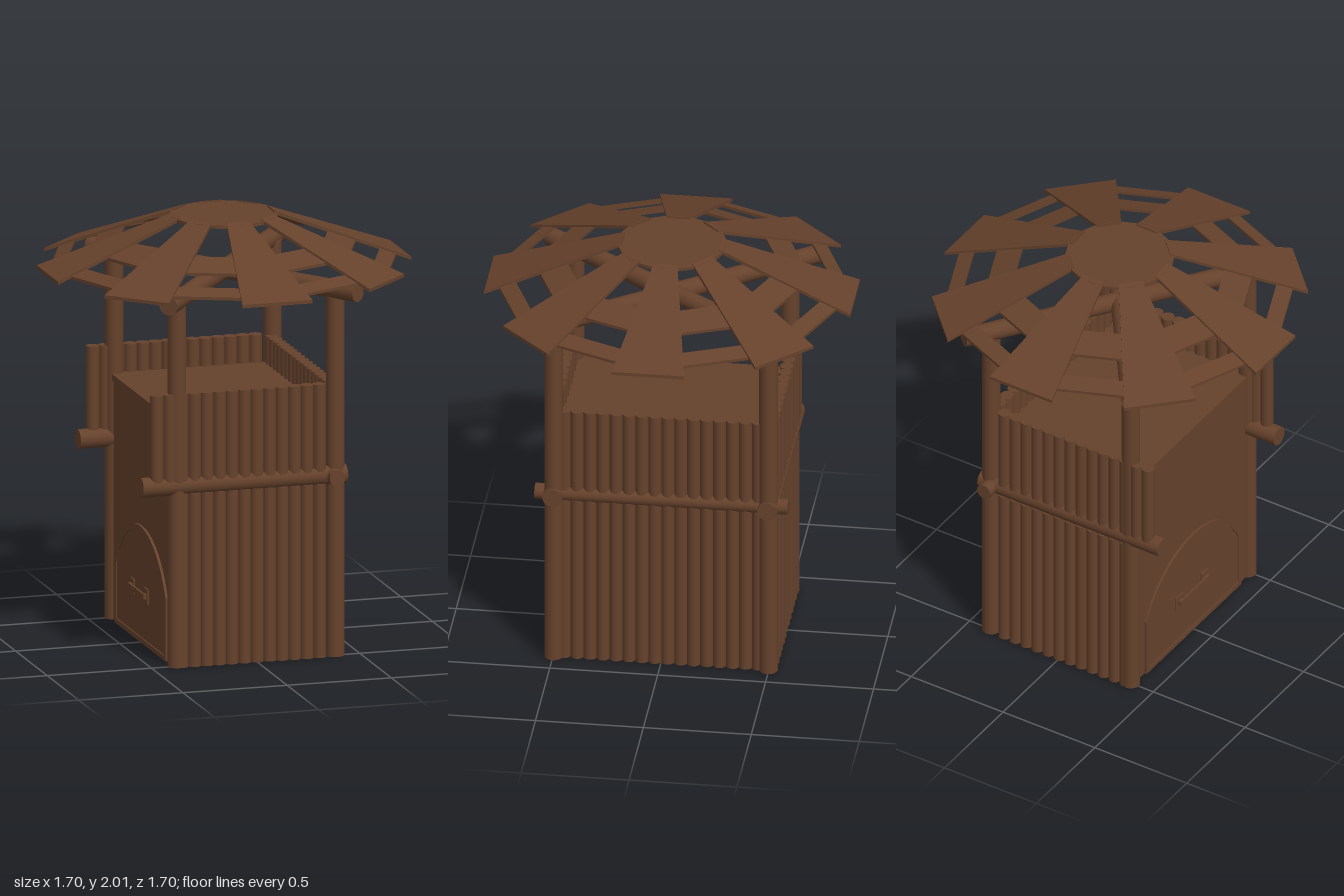
import * as THREE from 'three';

const wood = new THREE.MeshStandardMaterial({ color: 0x66422c });
wood.name = 'brown wood';

export function createModel() {
  const tower = new THREE.Group();
  tower.name = 'watchtower';

  const add = (name, geometry, parent = tower) => {
    const mesh = new THREE.Mesh(geometry, wood);
    mesh.name = name;
    parent.add(mesh);
    return mesh;
  };
  const box = (name, w, h, d, x, y, z, parent) => {
    const mesh = add(name, new THREE.BoxGeometry(w, h, d), parent);
    mesh.position.set(x, y, z);
    return mesh;
  };
  // Round log between two points
  const log = (name, r, a, b, parent) => {
    const from = new THREE.Vector3(...a), to = new THREE.Vector3(...b);
    const dir = to.clone().sub(from);
    const mesh = add(name, new THREE.CylinderGeometry(r, r, dir.length(), 16), parent);
    mesh.position.copy(from).add(to).multiplyScalar(0.5);
    mesh.quaternion.setFromUnitVectors(new THREE.Vector3(0, 1, 0), dir.normalize());
    return mesh;
  };
  const group = (name, parent = tower) => {
    const g = new THREE.Group();
    g.name = name;
    parent.add(g);
    return g;
  };

  // Corner posts
  for (const x of [-0.377, 0.383])
    for (const z of [-0.498, 0.498]) log('cornerPost', 0.043, [x, 0, z], [x, 1.73, z]);

  // Front and back log walls, with the upper row reaching past the posts
  for (const s of [1, -1]) {
    const wall = group(s > 0 ? 'frontWall' : 'backWall');
    for (let i = 0; i < 14; i++) {
      const x = -0.477 + i * 0.06, z = s * 0.508;
      log('upperLog', 0.031, [x, 0.88, z], [x, 1.29, z], wall);
      if (i > 1) log('lowerLog', 0.031, [x, 0, z], [x, 0.82, z], wall);
    }
    log('crossBeam', 0.046, [-0.55, 0.855, s * 0.498], [0.432, 0.855, s * 0.498], wall);
  }

  // Left log wall
  const sideWall = group('leftWall');
  for (let i = 0; i < 16; i++) {
    const z = -0.45 + i * 0.06;
    log('upperLog', 0.031, [0.367, 0.88, z], [0.367, 1.29, z], sideWall);
    log('lowerLog', 0.031, [0.367, 0, z], [0.367, 0.83, z], sideWall);
  }
  log('crossBeam', 0.037, [0.368, 0.855, -0.588], [0.368, 0.855, 0.585], sideWall);

  // Platform and flat right wall
  box('platform', 0.75, 0.03, 0.98, -0.023, 1.145, 0);
  box('rightWall', 0.025, 1.13, 0.96, -0.379, 0.565, 0);

  // Arched door
  const door = group('door');
  const arch = (half, base, spring, peak, Type) => {
    const rise = peak - spring;
    const r = (half * half + rise * rise) / (2 * rise), cy = peak - r;
    const a = Math.atan2(spring - cy, half);
    const shape = new Type();
    shape.moveTo(-half, base);
    shape.lineTo(half, base);
    shape.lineTo(half, spring);
    shape.absarc(0, cy, r, a, Math.PI - a, false);
    shape.lineTo(-half, base);
    return shape;
  };
  const plate = (name, shape, outerX, depth) => {
    const g = new THREE.ExtrudeGeometry(shape, { depth, bevelEnabled: false, curveSegments: 12 });
    g.rotateY(-Math.PI / 2);
    add(name, g, door).position.x = outerX + depth;
  };
  const frame = arch(0.405, 0.002, 0.3, 0.55, THREE.Shape);
  frame.holes.push(arch(0.38, 0.025, 0.29, 0.527, THREE.Path));
  plate('doorFrame', frame, -0.404, 0.05);
  plate('doorPanel', arch(0.385, 0.02, 0.29, 0.532, THREE.Shape), -0.398, 0.038);
  for (const z of [-0.125, 0.095]) {
    box('handlePlate', 0.008, 0.07, 0.06, -0.401, 0.24, z, door);
    box('handleMount', 0.022, 0.025, 0.025, -0.409, 0.24, z, door);
  }
  box('handleBar', 0.01, 0.025, 0.22, -0.416, 0.24, -0.015, door);

  // Diagonal roof beams
  for (const s of [1, -1])
    log('roofBeam', 0.044, [-0.455, 1.735, -0.622 * s], [0.455, 1.735, 0.622 * s]);

  // Sloping roof: eight tapered planks joined by two rings of slats
  const roof = group('roof');
  const cap = add('roofCap', new THREE.CylinderGeometry(0.25, 0.25, 0.015, 24), roof);
  cap.position.y = 1.9925;
  const slopeY = (r) => 2 - 0.375 * (r - 0.25);
  // Slab lying on the roof slope, pointing along +z
  const slab = (r0, r1, w0, w1, thick, drop) => {
    const g = new THREE.BoxGeometry(1, 1, 1);
    const p = g.attributes.position;
    for (let i = 0; i < p.count; i++) {
      const outer = p.getZ(i) > 0, r = outer ? r1 : r0;
      const y = slopeY(r) - drop - (p.getY(i) > 0 ? 0 : thick);
      p.setXYZ(i, Math.sign(p.getX(i)) * (outer ? w1 : w0), y, r);
    }
    g.computeVertexNormals();
    return g;
  };
  for (let i = 0; i < 8; i++) {
    const a = i * Math.PI / 4, mid = a + Math.PI / 8;
    add('roofPlank', slab(0.225, 0.848, 0.055, 0.168, 0.016, 0.002), roof).rotation.y = a;
    add('innerSlat', slab(0.47, 0.595, 0.135, 0.16, 0.014, 0.012), roof).rotation.y = mid;
    add('outerSlat', slab(0.705, 0.778, 0.2, 0.215, 0.014, 0.012), roof).rotation.y = mid;
  }
  return tower;
}
